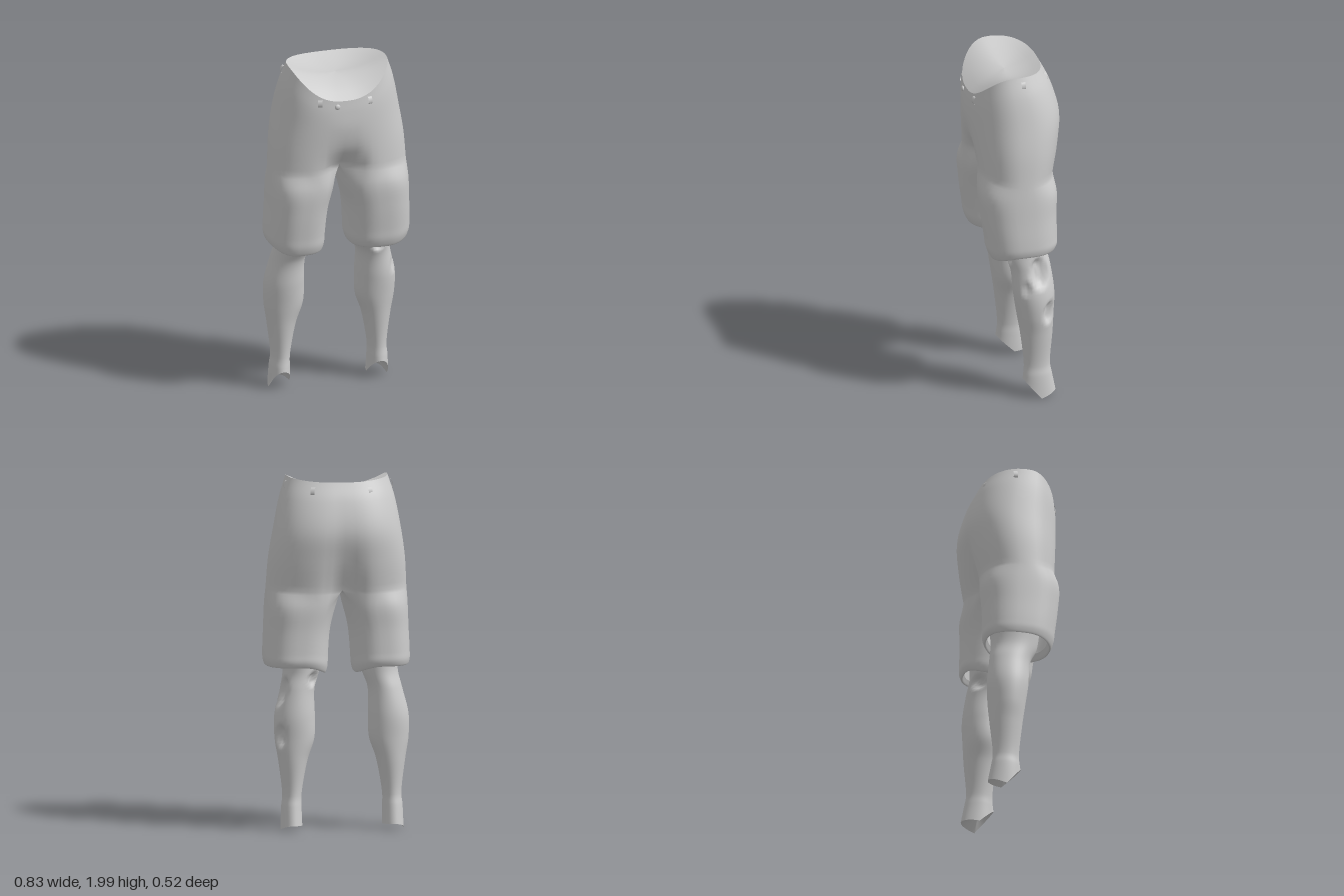
import * as THREE from 'three';
import { mergeVertices, mergeGeometries } from 'three/addons/utils/BufferGeometryUtils.js';

const grey = new THREE.MeshStandardMaterial({ color: 0xcccccc, side: THREE.DoubleSide });
const V = (x, y, z) => new THREE.Vector3(x, y, z);
const spow = (v, p) => Math.sign(v) * Math.pow(Math.abs(v), p);
const lerp = THREE.MathUtils.lerp;

// Skin a grid of points; rows run downwards, columns front -> outer side -> back
function loft(rows, { closed = false, flip = false } = {}) {
  const n = rows[0].length, pos = [], idx = [];
  rows.forEach(r => r.forEach(p => pos.push(p.x, p.y, p.z)));
  for (let r = 0; r < rows.length - 1; r++)
    for (let c = 0; c < (closed ? n : n - 1); c++) {
      const a = r * n + c, b = r * n + (c + 1) % n, d = a + n, e = b + n;
      idx.push(...(flip ? [a, b, d, b, e, d] : [a, d, b, b, d, e]));
    }
  const g = new THREE.BufferGeometry();
  g.setAttribute('position', new THREE.Float32BufferAttribute(pos, 3));
  g.setIndex(idx);
  return g;
}

// Spline every column through the key rings; returns the denser rows
function splineRows(keys, per) {
  const curves = keys[0].map((_, c) => new THREE.CatmullRomCurve3(keys.map(k => k[c])));
  const n = (keys.length - 1) * per;
  return Array.from({ length: n + 1 }, (_, i) => curves.map(c => c.getPoint(i / n)));
}

function smooth(parts) {
  const g = mergeVertices(mergeGeometries(parts), 1e-4);
  g.computeVertexNormals();
  return g;
}

function mesh(name, geometry) {
  const m = new THREE.Mesh(geometry, grey);
  m.name = name;
  return m;
}

// Height that varies round a ring: front, side, back
const ringY = (c, f, s, b) => s + ((c > 0 ? f : b) - s) * c * c;
// The garment hangs slightly towards the model's right
const lean = p => V(p.x - 0.018 * (1 - (p.x / 0.415) ** 2), p.y, p.z);

const M = 28, K = 10, CORNER = 0.75;

// Half ring of the hips: half width, front z, back z, three heights, front and back cleft
function hipRing([w, zf, zb, yf, ys, yb, cf, cb]) {
  return Array.from({ length: M + 1 }, (_, i) => {
    const t = Math.PI * i / M, c = Math.cos(t);
    const x = i % M ? w * Math.pow(Math.sin(t), 0.8) : 0;
    const cleft = Math.exp(-((x / 0.09) ** 2)) * (c > 0 ? -cf : cb);
    const z = (zf + zb) / 2 + (zf - zb) / 2 * spow(c, 0.85) + cleft;
    return V(x, ringY(c, yf, ys, yb), z);
  });
}

// Full ring of a trouser leg: inner x, outer x, front z, back z, heights front/outer/back/inner
function legRing([xi, xo, zf, zb, yf, yo, yb, yi]) {
  return Array.from({ length: M + K }, (_, i) => {
    const a = i <= M ? lerp(-CORNER, Math.PI + CORNER, i / M)
      : lerp(Math.PI + CORNER, 2 * Math.PI - CORNER, (i - M) / K);
    const s = Math.sin(a), c = Math.cos(a);
    return V((xi + xo) / 2 + (xo - xi) / 2 * spow(s, 0.8), ringY(c, yf, s > 0 ? yo : yi, yb),
      (zf + zb) / 2 + (zf - zb) / 2 * spow(c, 0.8));
  });
}

const WAIST = [0.286, 0.25, -0.16, 1.83, 1.995, 1.975, 0, 0];

function shortsGeometry() {
  const hips = [
    WAIST,
    [0.323, 0.256, -0.215, 1.76, 1.88, 1.87, 0, 0.004],
    [0.357, 0.255, -0.262, 1.65, 1.71, 1.70, 0, 0.018],
    [0.384, 0.248, -0.248, 1.52, 1.54, 1.54, 0.03, 0.045],
    [0.396, 0.24, -0.215, 1.40, 1.37, 1.36, 0.12, 0.09],
  ].map(hipRing);
  const legs = [
    [0.022, 0.402, 0.235, -0.205, 1.29, 1.27, 1.27, 1.27],
    [0.055, 0.407, 0.225, -0.2, 1.15, 1.14, 1.14, 1.14],
    [0.068, 0.413, 0.205, -0.2, 1.0, 1.01, 1.01, 0.99],
    [0.072, 0.412, 0.195, -0.2, 0.93, 0.96, 0.96, 0.92],
    [0.085, 0.402, 0.175, -0.185, 0.888, 0.93, 0.93, 0.882],
    [0.1, 0.388, 0.16, -0.17, 0.93, 0.96, 0.96, 0.92],
  ].map(legRing);
  // The crotch seam closes the last hip ring into a full leg ring
  const crotch = hips[hips.length - 1];
  const seam = Array.from({ length: K - 1 }, (_, i) => {
    const p = crotch[M].clone().lerp(crotch[0], (i + 1) / K);
    return V(0, p.y - 0.03 * Math.sin(Math.PI * (i + 1) / K), p.z);
  });
  const upper = splineRows(hips, 5);
  const lower = splineRows([[...crotch, ...seam], ...legs], 5);
  const parts = [];
  for (const s of [1, -1]) {
    const place = rows => rows.map(r => r.map(p => lean(V(p.x * s, p.y, p.z))));
    parts.push(loft(place(upper), { flip: s < 0 }), loft(place(lower), { closed: true, flip: s < 0 }));
  }
  return smooth(parts);
}

// Dished surface closing the waist
function waistCapGeometry() {
  const half = hipRing(WAIST);
  const ring = [...half, ...half.slice(1, -1).reverse().map(p => V(-p.x, p.y, p.z))].map(lean);
  const rows = [0.001, 0.2, 0.4, 0.6, 0.8, 1].map(k => ring.map(p =>
    V(lerp(-0.015, p.x, k), lerp(1.925, p.y, k * k), lerp(0.03, p.z, k))));
  return smooth([loft(rows, { closed: true })]);
}

// Lower leg: y, inner x, outer x, front z, back z
const CALF = [
  [1.05, 0.10, 0.335, 0.13, -0.16], [0.9, 0.12, 0.325, 0.108, -0.155],
  [0.8, 0.152, 0.345, 0.062, -0.17], [0.65, 0.152, 0.38, 0.047, -0.187],
  [0.52, 0.156, 0.379, 0.028, -0.182], [0.4, 0.195, 0.36, 0.01, -0.175],
  [0.2, 0.23, 0.337, -0.01, -0.16], [0.14, 0.23, 0.343, -0.005, -0.17],
];
// Torn hollows in the left leg: x, y, z, half height, half width, depth
const GASHES = [
  [0.33, 0.79, -0.09, 0.11, 0.065, 0.035], [0.345, 0.54, -0.145, 0.08, 0.05, 0.03],
  [0.23, 0.86, 0.085, 0.045, 0.05, 0.03], [0.15, 0.86, -0.12, 0.05, 0.05, 0.025],
  [0.345, 0.7, 0.0, 0.05, 0.04, 0.014],
];

function calfGeometry(side) {
  const N = 40;
  const ring = (xi, xo, zf, zb, yAt) => Array.from({ length: N }, (_, i) => {
    const a = 2 * Math.PI * i / N, s = Math.sin(a), c = Math.cos(a);
    return V((xi + xo) / 2 + (xo - xi) / 2 * s, yAt(c, s), (zf + zb) / 2 + (zf - zb) / 2 * c);
  });
  const keys = CALF.map(([y, ...r]) => ring(...r, () => y));
  // Ragged ankle edge: high at the front, pointed at the sides
  keys.push(ring(0.227, 0.348, -0.002, -0.19, (c, s) => c > 0
    ? lerp(s > 0 ? 0.005 : 0.03, 0.118, Math.abs(c)) : lerp(s > 0 ? 0.005 : 0.03, 0.036, -c)));
  const rows = splineRows(keys, 8).map(r => r.map(p => V(p.x * side - 0.02, p.y, p.z)));
  if (side > 0) for (const row of rows) {
    const axis = row.reduce((m, p) => m.add(p), V(0, 0, 0)).divideScalar(N);
    for (const p of row) {
      let depth = 0;
      for (const [x, y, z, h, w, d] of GASHES) {
        const dist = Math.hypot((p.x - x) / w, (p.y - y) / h, (p.z - z) / w);
        depth = Math.max(depth, d * (1 - THREE.MathUtils.smoothstep(dist, 0.5, 1)));
      }
      const inward = V(axis.x - p.x, 0, axis.z - p.z).normalize();
      p.addScaledVector(inward, depth);
    }
  }
  // Hollow underside of the ankle
  const edge = rows[rows.length - 1], mid = V(0.287 * side - 0.02, 0.09, -0.095);
  const sole = [1, 0.5, 0.001].map(k => edge.map(p => mid.clone().lerp(p, k)));
  const opts = { closed: true, flip: side < 0 };
  const body = smooth([loft(rows, opts)]), under = smooth([loft(sole, opts)]);
  return mergeGeometries([body, under]);
}

// Small arched strip standing off the waistband
function beltLoop(x, y, z, turn, tilt) {
  const g = new THREE.CylinderGeometry(0.022, 0.022, 0.024, 10, 1, true, 0, Math.PI);
  g.rotateZ(Math.PI / 2).rotateX(Math.PI / 2).scale(1, 1, 0.5);
  const m = mesh('beltLoop', g);
  m.position.set(x, y, z);
  m.rotation.set(tilt, turn, 0, 'YXZ');
  return m;
}

export function createModel() {
  const model = new THREE.Group();
  model.name = 'shortsAndLegs';
  model.add(mesh('shorts', shortsGeometry()), mesh('waistCap', waistCapGeometry()));
  model.add(mesh('leftLowerLeg', calfGeometry(1)), mesh('rightLowerLeg', calfGeometry(-1)));

  const loops = new THREE.Group();
  loops.name = 'beltLoops';
  [
    [-0.165, 1.825, 0.232, -0.35, -0.15], [0.122, 1.815, 0.24, 0.25, -0.15],
    [-0.306, 1.95, -0.03, -1.6, -0.25], [0.285, 1.95, 0.0, 1.6, -0.25],
    [-0.165, 1.93, -0.163, Math.PI + 0.4, -0.4], [0.155, 1.93, -0.163, Math.PI - 0.4, -0.4],
  ].forEach(a => loops.add(beltLoop(...a)));
  model.add(loops);

  const button = mesh('button', new THREE.SphereGeometry(0.016, 14, 10));
  button.scale.z = 0.6;
  button.position.set(-0.07, 1.8, 0.254);
  model.add(button);
  return model;
}
